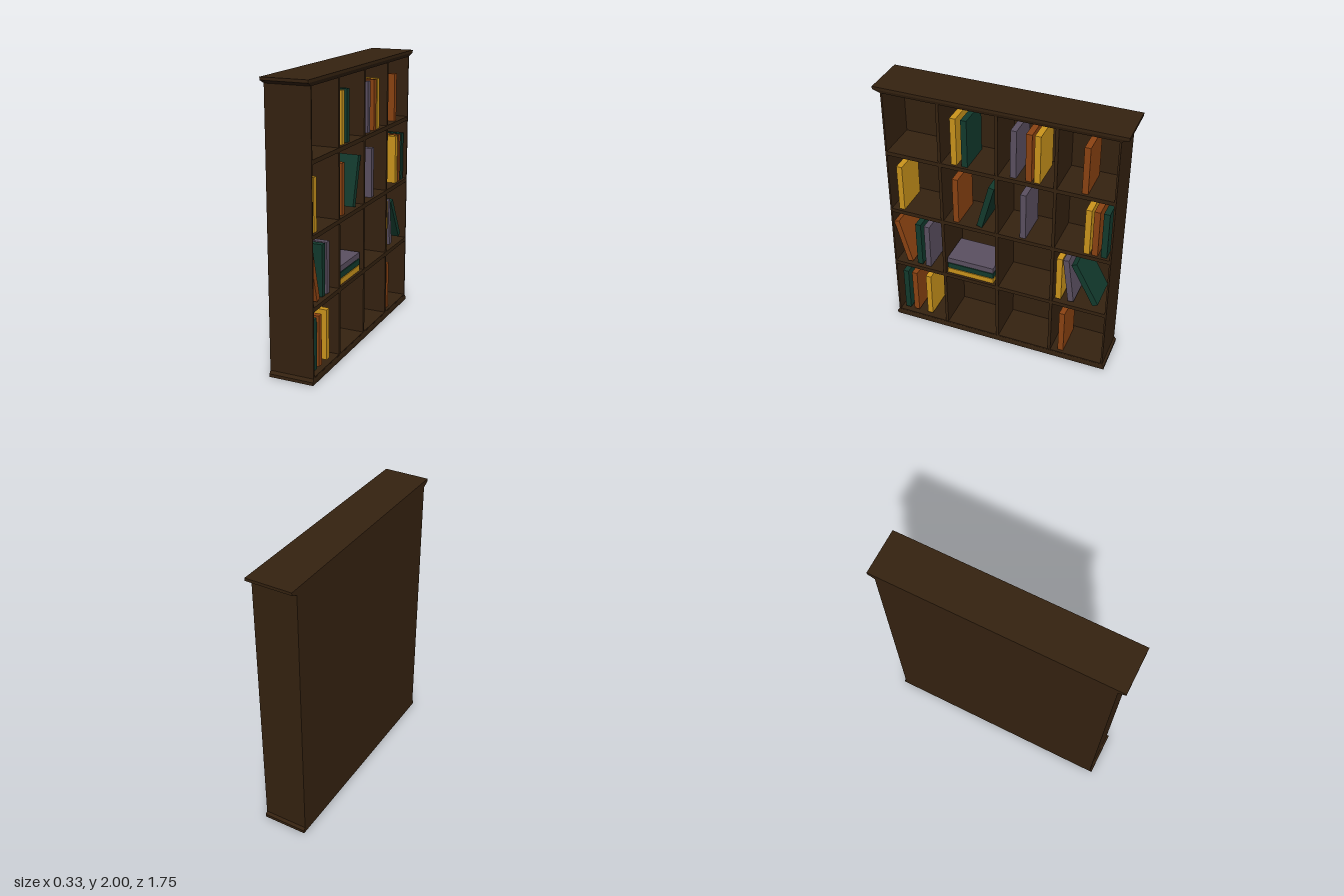
import * as THREE from 'three';

const mat = (color) => new THREE.MeshStandardMaterial({ color, flatShading: true });
const BACK = -0.165, FRONT = 0.155, HALF = 0.825;

export function createModel() {
  const model = new THREE.Group();
  const wood = mat(0x352210);
  const cloth = { yellow: mat(0xcc951c), orange: mat(0x8c4312), green: mat(0x123a2d), purple: mat(0x5b5061) };

  // Box given by its limits on each axis
  function board(name, x0, x1, y0, y1, z0, z1, parent = model) {
    const mesh = new THREE.Mesh(new THREE.BoxGeometry(x1 - x0, y1 - y0, z1 - z0), wood);
    mesh.position.set((x0 + x1) / 2, (y0 + y1) / 2, (z0 + z1) / 2);
    mesh.name = name;
    parent.add(mesh);
  }

  // Moulding whose front and ends slope between two overhangs; its back stays flush
  function moulding(name, y0, y1, [front0, half0], [front1, half1]) {
    const g = new THREE.BoxGeometry(1, 1, 1);
    const p = g.attributes.position;
    for (let i = 0; i < p.count; i++) {
      const top = p.getY(i) > 0;
      const x = p.getX(i) > 0 ? (top ? front1 : front0) : BACK;
      p.setXYZ(i, x, top ? y1 : y0, Math.sign(p.getZ(i)) * (top ? half1 : half0));
    }
    g.computeVertexNormals();
    const mesh = new THREE.Mesh(g, wood);
    mesh.name = name;
    model.add(mesh);
  }

  // Carcass
  board('backPanel', BACK, BACK + 0.012, 0.03, 1.97, -HALF, HALF);
  for (const s of [-1, 1]) {
    board(s > 0 ? 'leftSide' : 'rightSide', BACK, FRONT, 0.03, 1.97,
      Math.min(s * HALF, s * (HALF - 0.012)), Math.max(s * HALF, s * (HALF - 0.012)));
  }
  board('floorBoard', BACK + 0.005, FRONT - 0.001, 0.03, 0.05, -HALF + 0.005, HALF - 0.005);
  for (const y of [0.518, 1.002, 1.486]) {
    board('shelf', BACK + 0.005, FRONT - 0.001, y - 0.015, y + 0.015, -HALF + 0.005, HALF - 0.005);
  }
  for (const z of [-0.412, 0.002, 0.416]) {
    board('divider', BACK + 0.005, FRONT - 0.002, 0.04, 1.965, z - 0.011, z + 0.011);
  }

  // Cornice and plinth
  moulding('corniceSlope', 1.955, 1.98, [FRONT, HALF], [0.165, 0.877]);
  moulding('corniceTop', 1.98, 2, [0.165, 0.877], [0.165, 0.877]);
  moulding('plinth', 0, 0.022, [0.158, 0.84], [0.158, 0.84]);
  moulding('plinthSlope', 0.022, 0.042, [0.158, 0.84], [FRONT, HALF]);

  // Books: colour, centre z, centre y, lean in degrees (positive leans to the left)
  const books = [
    // top row
    ['yellow', 0.316, 1.68], ['green', 0.238, 1.68], ['purple', -0.112, 1.682],
    ['orange', -0.22, 1.68], ['yellow', -0.28, 1.68], ['orange', -0.61, 1.672],
    // second row
    ['yellow', 0.74, 1.198], ['orange', 0.316, 1.198], ['green', 0.093, 1.2, -15],
    ['purple', -0.185, 1.198], ['yellow', -0.645, 1.198], ['orange', -0.703, 1.198], ['green', -0.768, 1.198],
    // third row
    ['orange', 0.75, 0.72, 15], ['green', 0.624, 0.725], ['purple', 0.556, 0.722],
    ['yellow', -0.46, 0.732], ['purple', -0.53, 0.734, 7.6], ['green', -0.65, 0.734, 28],
    ['yellow', 0.218, 0.552, 90], ['green', 0.218, 0.6, 90], ['purple', 0.218, 0.648, 90],
    // bottom row
    ['green', 0.753, 0.253], ['orange', 0.681, 0.253], ['yellow', 0.566, 0.253], ['orange', -0.496, 0.235],
  ];
  const bookGeometry = new THREE.BoxGeometry(0.25, 0.36, 0.042);
  const shelfBooks = new THREE.Group();
  shelfBooks.name = 'books';
  for (const [color, z, y, lean = 0] of books) {
    const book = new THREE.Mesh(bookGeometry, cloth[color]);
    book.position.set(0.01, y, z);
    book.rotation.x = THREE.MathUtils.degToRad(lean);
    book.name = color + 'Book';
    shelfBooks.add(book);
  }
  model.add(shelfBooks);
  return model;
}
